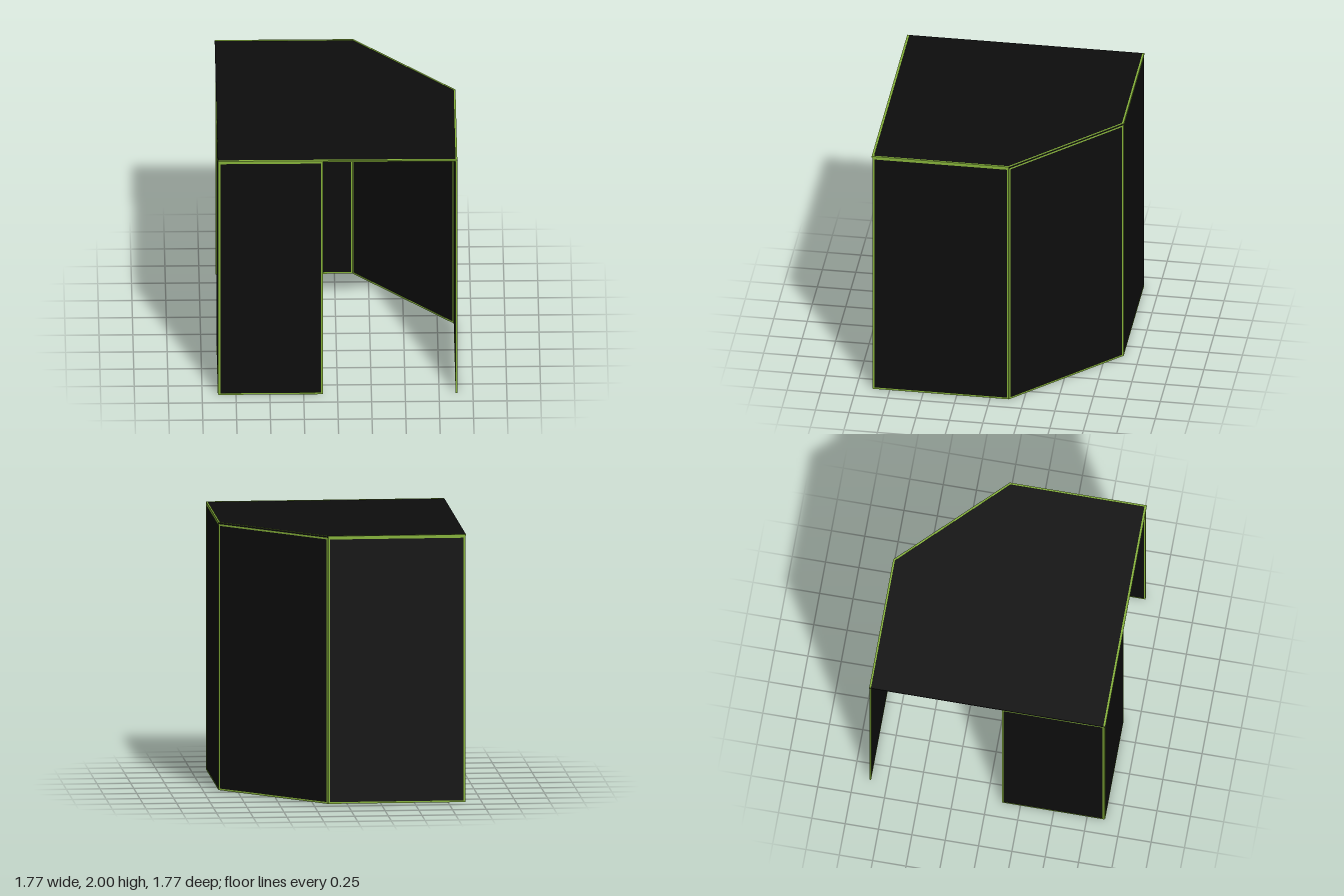
import * as THREE from 'three';

const black = new THREE.MeshStandardMaterial({ color: 0x0d0d0d });
black.name = 'black panel';
const green = new THREE.MeshStandardMaterial({ color: 0x86b23a });
green.name = 'green trim';

const E = 0.878;      // centre line of the outer walls
const C = 0.137;      // where the cut corner begins
const H = 1.988;      // wall height, up to the underside of the roof
const TRIM = 0.013;   // width of the edging

function box(name, material, w, h, d, x, y, z) {
  const mesh = new THREE.Mesh(new THREE.BoxGeometry(w, h, d), material);
  mesh.name = name;
  mesh.position.set(x, y, z);
  return mesh;
}

// Group whose local x runs from a to b on the ground plan
function along(name, [ax, az], [bx, bz]) {
  const group = new THREE.Group();
  group.name = name;
  group.position.set((ax + bx) / 2, 0, (az + bz) / 2);
  group.rotation.y = -Math.atan2(bz - az, bx - ax);
  return { group, length: Math.hypot(bx - ax, bz - az) };
}

// Thin wall panel edged with green on all four sides
function wall(name, a, b) {
  const { group, length } = along(name, a, b);
  group.add(box('panel', black, length - 2 * TRIM, H - 2 * TRIM, 0.01, 0, H / 2, 0));
  for (const s of [-1, 1]) {
    group.add(box('uprightTrim', green, TRIM, H, 0.013, s * (length - TRIM) / 2, H / 2, 0));
    group.add(box('railTrim', green, length - 2 * TRIM, TRIM, 0.013, 0, H / 2 + s * (H - TRIM) / 2, 0));
  }
  return group;
}

export function createModel() {
  const model = new THREE.Group();
  model.name = 'booth';

  // Walls: three full ones, and two short ones meeting at the front corner
  model.add(
    wall('rightWall', [E, E], [E, -C]),
    wall('diagonalWall', [E, -C], [C, -E]),
    wall('backWall', [C, -E], [-E, -E]),
    wall('leftShortWall', [-E, 0.11], [-E, E]),
    wall('frontShortWall', [-E, E], [-0.108, E]),
  );

  // Roof: a square with one corner cut off
  const O = 0.884;
  const outline = [[-O, O], [O, O], [O, -C - 0.006], [C + 0.006, -O], [-O, -O]];
  const shape = new THREE.Shape(outline.map(([x, z]) => new THREE.Vector2(x, -z)));
  const roofGeometry = new THREE.ExtrudeGeometry(shape, { depth: 0.01, bevelEnabled: false });
  roofGeometry.rotateX(-Math.PI / 2);
  const roof = new THREE.Mesh(roofGeometry, black);
  roof.name = 'roof';
  roof.position.y = H;
  model.add(roof);

  // Roof edging on every side but the left
  const rims = [
    ['frontRim', [-E, E], [E, E], 0.016],
    ['rightRim', [E, E], [E, -C], 0.013],
    ['diagonalRim', [E, -C], [C, -E], 0.013],
    ['backRim', [C, -E], [-E, -E], 0.014],
  ];
  for (const [name, a, b, width] of rims) {
    const { group, length } = along(name, a, b);
    group.add(box('rim', green, length + 0.008, 0.012, width, 0, H + 0.006, 0));
    model.add(group);
  }
  return model;
}
